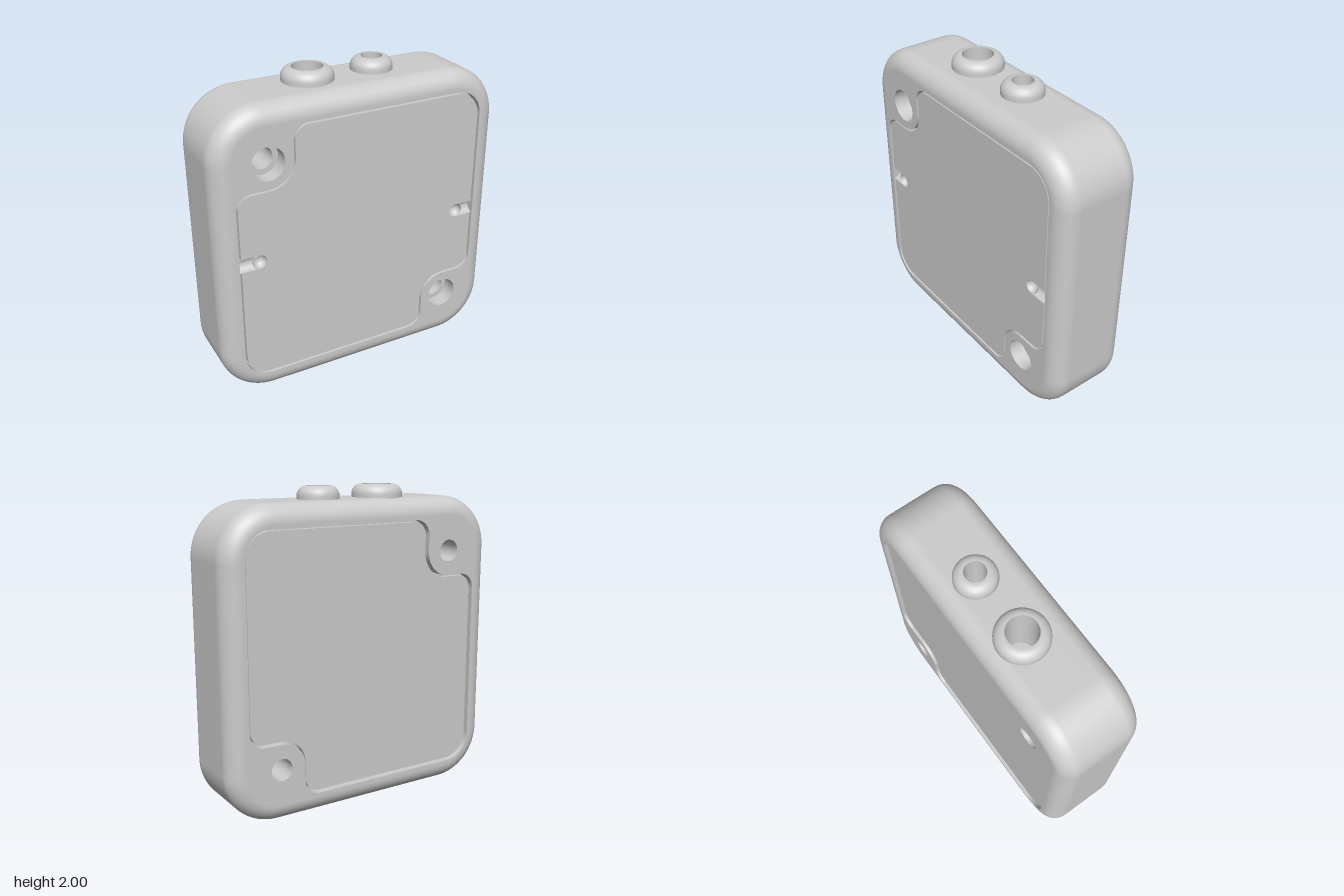
import * as THREE from 'three';
import { toCreasedNormals } from 'three/addons/utils/BufferGeometryUtils.js';

const PI = Math.PI;
const HALF_W = 0.957, HALF_H = 0.96, HALF_D = 0.275; // case half sizes
const CORNER = 0.33, FILLET = 0.115, PLATE = 0.06;
const SCREW = { x: 0.617, y: -0.6175 }; // mirrored through the centre
const SLOT_X = 0.695, SLOT_R = 0.045;
const SOCKETS = [
  { x: -0.22, z: -0.03, outer: 0.16, bore: 0.095 },
  { x: 0.21, z: -0.03, outer: 0.13, bore: 0.065 },
];

const material = new THREE.MeshStandardMaterial({ color: 0xcccccc, side: THREE.DoubleSide });

function add(parent, name, geometry) {
  const mesh = new THREE.Mesh(geometry, material);
  mesh.name = name;
  parent.add(mesh);
  return mesh;
}

function extrude(shape, depth, z) {
  const geo = new THREE.ExtrudeGeometry(shape, { depth, bevelEnabled: false, curveSegments: 16 });
  return toCreasedNormals(geo, 0.5).translate(0, 0, z);
}

function circle(x, y, r) {
  return new THREE.Path().absarc(x, y, r, 0, 2 * PI, false);
}

// Lid outline inset by d: rounded square stepping around the two screws.
// One half is drawn, then repeated turned by 180 degrees.
function lidOutline(d, slots) {
  const s = new THREE.Shape();
  const X = 0.825 - d, H = 0.8225 - d, R = 0.17 - d, q = 0.1 - d;
  const edge = 0.457 - d, shelf = -0.4575 + d;
  for (const k of [1, -1]) {
    const turn = k > 0 ? 0 : PI;
    const arc = (x, y, r, a, b, cw = false) => s.absarc(k * x, k * y, r, a + turn, b + turn, cw);
    arc(-X + R, -H + R, R, PI, 1.5 * PI);
    arc(edge - q, -H + q, q, 1.5 * PI, 2 * PI);
    arc(SCREW.x, SCREW.y, 0.16 + d, PI, PI / 2, true);
    arc(X - q, shelf + q, q, -PI / 2, 0);
    if (slots) {
      s.lineTo(k * X, -k * SLOT_R);
      arc(SLOT_X, 0, SLOT_R, 1.5 * PI, 0.5 * PI, true);
      s.lineTo(k * X, k * SLOT_R);
    }
  }
  s.closePath();
  return s;
}

// Flat face of the case, opened for the lid and the screws
function facePlate(screwRadius) {
  const s = new THREE.Shape();
  const cx = HALF_W - CORNER, cy = HALF_H - CORNER, r = CORNER - FILLET;
  s.absarc(cx, cy, r, 0, PI / 2);
  s.absarc(-cx, cy, r, PI / 2, PI);
  s.absarc(-cx, -cy, r, PI, 1.5 * PI);
  s.absarc(cx, -cy, r, 1.5 * PI, 2 * PI);
  s.closePath();
  s.holes.push(lidOutline(0, false));
  for (const k of [1, -1]) s.holes.push(circle(k * SCREW.x, k * SCREW.y, screwRadius));
  return s;
}

// Filleted rim: rounded-square rings swept from back to front.
// The flat strip on top is left open for the socket wall.
function rimGeometry() {
  const pos = [], nor = [], idx = [], seg = 16, fil = 10;
  const cx = HALF_W - CORNER, cy = HALF_H - CORNER;
  const cols = 4 * (seg + 1), rings = 2 * (fil + 1);
  for (let j = 0; j < rings; j++) {
    const front = j > fil;
    const b = (front ? j - fil - 1 : j - fil) / fil * PI / 2;
    const r = CORNER - FILLET + FILLET * Math.cos(b);
    const z = (front ? 1 : -1) * (HALF_D - FILLET) + FILLET * Math.sin(b);
    for (let k = 0; k < 4; k++) {
      const sx = k === 0 || k === 3 ? 1 : -1, sy = k < 2 ? 1 : -1;
      for (let i = 0; i <= seg; i++) {
        const a = (k + i / seg) * PI / 2, c = Math.cos(a), s = Math.sin(a);
        pos.push(sx * cx + r * c, sy * cy + r * s, z);
        nor.push(c * Math.cos(b), s * Math.cos(b), Math.sin(b));
      }
    }
  }
  for (let j = 0; j < rings - 1; j++) {
    for (let i = 0; i < cols; i++) {
      if (j === fil && i === seg) continue;
      const n = (i + 1) % cols, p = j * cols, q = p + cols;
      idx.push(p + i, p + n, q + n, p + i, q + n, q + i);
    }
  }
  const geo = new THREE.BufferGeometry();
  geo.setAttribute('position', new THREE.Float32BufferAttribute(pos, 3));
  geo.setAttribute('normal', new THREE.Float32BufferAttribute(nor, 3));
  geo.setIndex(idx);
  return geo;
}

function lathe(points, segments) {
  const pts = points.map(([r, y]) => new THREE.Vector2(r, y));
  return toCreasedNormals(new THREE.LatheGeometry(pts, segments), 0.6);
}

export function createModel() {
  const model = new THREE.Group();
  model.name = 'enclosure';
  const box = new THREE.Group();
  box.name = 'case';
  box.position.y = HALF_H;
  model.add(box);

  // Case shell
  add(box, 'rim', rimGeometry());
  add(box, 'frontPlate', extrude(facePlate(0.105), PLATE, HALF_D - PLATE));
  add(box, 'backPlate', extrude(facePlate(0.07), PLATE, -HALF_D));

  // Top strip with the socket openings
  const w = HALF_W - CORNER, d = HALF_D - FILLET;
  const strip = new THREE.Shape([[-w, -d], [w, -d], [w, d], [-w, d]].map(p => new THREE.Vector2(...p)));
  for (const s of SOCKETS) strip.holes.push(circle(s.x, -s.z, s.bore));
  add(box, 'topWall', new THREE.ShapeGeometry(strip, 24).rotateX(-PI / 2).translate(0, HALF_H, 0));

  // Lids sit in their recesses with a fine gap all round
  const floorZ = HALF_D - PLATE;
  const floor = new THREE.ShapeGeometry(lidOutline(0, false), 16);
  add(box, 'frontRecessFloor', floor).position.z = floorZ;
  const backFloor = add(box, 'backRecessFloor', floor.clone().rotateY(PI).scale(-1, 1, 1));
  backFloor.position.z = -floorZ;
  add(box, 'frontLid', extrude(lidOutline(0.013, true), PLATE - 0.005, floorZ));
  add(box, 'backLid', extrude(lidOutline(0.013, false), PLATE - 0.02, -HALF_D + 0.02));

  for (const k of [1, -1]) {
    // Counterbored screw holes
    const bore = lathe([[0.105, floorZ], [0.105, 0.175], [0.07, 0.175], [0.07, -floorZ]], 32);
    add(box, 'screwHole', bore.rotateX(PI / 2)).position.set(k * SCREW.x, k * SCREW.y, 0);

    // Round-bottomed pry slots at the lid's sides
    const slot = new THREE.Group();
    slot.name = 'prySlot';
    slot.position.set(k * SLOT_X, 0, HALF_D - 0.005);
    slot.rotation.z = k > 0 ? 0 : PI;
    box.add(slot);
    const length = 0.825 - SLOT_X;
    const channel = new THREE.CylinderGeometry(SLOT_R, SLOT_R, length, 16, 1, true, PI / 2, PI);
    add(slot, 'slotChannel', channel.rotateZ(-PI / 2).rotateX(0).translate(length / 2, 0, 0));
    // keep the lower half of the channel facing into the lid
    channel.computeBoundingBox();
    if (channel.boundingBox.max.z > SLOT_R / 2) channel.rotateX(PI);
    const end = new THREE.SphereGeometry(SLOT_R, 16, 12, 0, PI, 0, PI);
    add(slot, 'slotEnd', end.rotateY(PI));
  }

  // Rounded socket collars with their bores
  for (const s of SOCKETS) {
    const f = 0.06, top = 2, pts = [[s.outer, 1.9]];
    for (let i = 0; i <= 8; i++) {
      const a = i / 8 * PI / 2;
      pts.push([s.outer - f + f * Math.cos(a), top - f + f * Math.sin(a)]);
    }
    pts.push([s.bore, top], [s.bore, 1.6], [0, 1.6]);
    add(model, 'socket', lathe(pts, 48)).position.set(s.x, 0, s.z);
  }
  return model;
}
